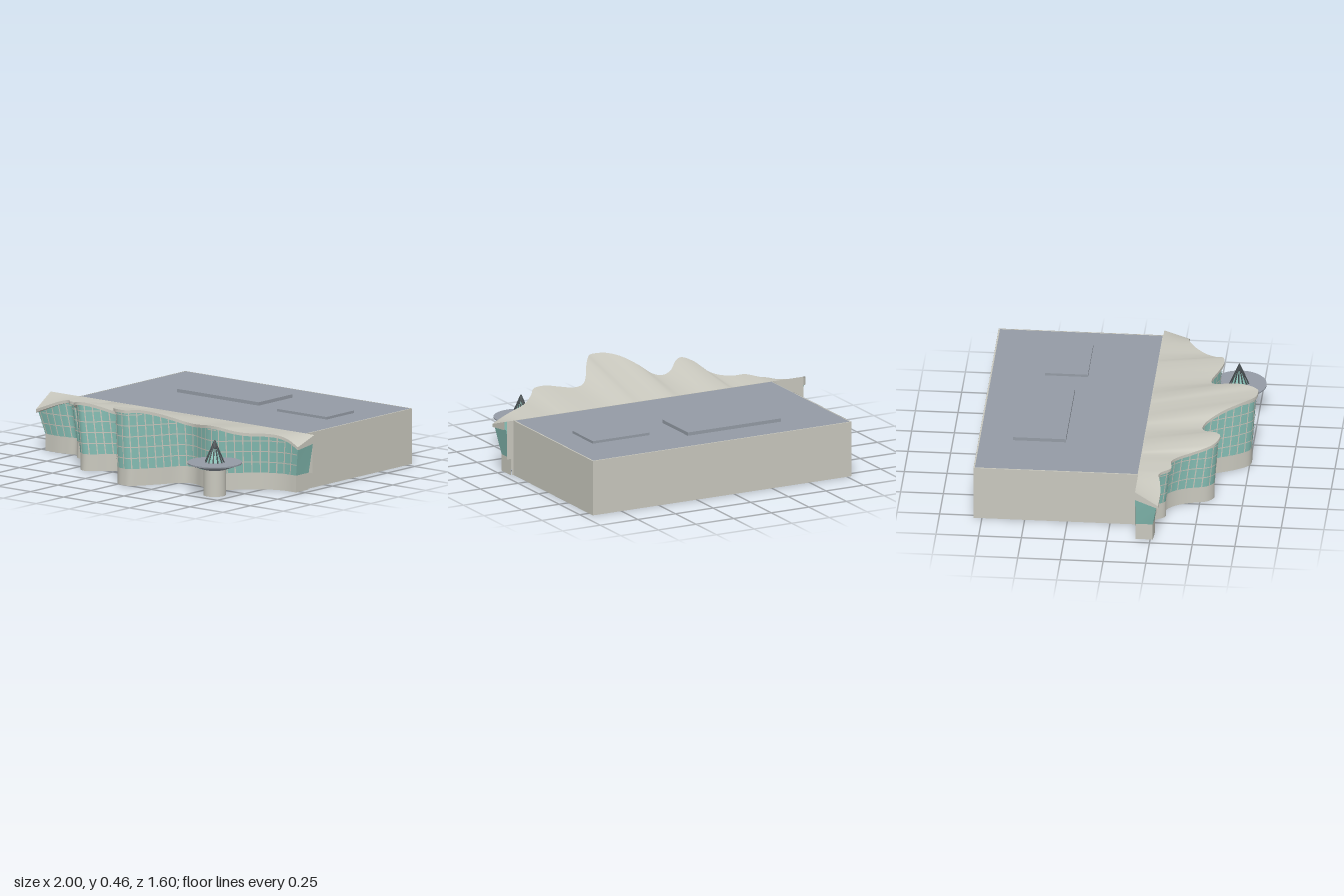
import * as THREE from 'three';
import { mergeGeometries } from 'three/addons/utils/BufferGeometryUtils.js';

const mat = (name, color) => new THREE.MeshStandardMaterial({ name, color, side: THREE.DoubleSide });
const V = (x, y, z) => new THREE.Vector3(x, y, z);

// Smooth surface between a lower and an upper row of points
function ribbon(lower, upper) {
  const n = lower.length, pos = [], idx = [];
  for (const p of [...lower, ...upper]) pos.push(p.x, p.y, p.z);
  for (let i = 0; i < n - 1; i++) idx.push(i, i + 1, n + i + 1, i, n + i + 1, n + i);
  const g = new THREE.BufferGeometry();
  g.setAttribute('position', new THREE.Float32BufferAttribute(pos, 3));
  g.setIndex(idx);
  g.computeVertexNormals();
  return g;
}

export function createModel() {
  const model = new THREE.Group();
  const stone = mat('pale stone', 0xc9c8be);
  const roofGrey = mat('roof grey', 0x949ba5);
  const glass = mat('teal glass', 0x86bfb5);
  const dark = mat('dark metal', 0x464d50);

  const add = (name, geo, material, x = 0, y = 0, z = 0, parent = model) => {
    const m = new THREE.Mesh(geo, material);
    m.name = name;
    m.position.set(x, y, z);
    parent.add(m);
    return m;
  };
  const box = (name, x0, x1, y0, y1, z0, z1, material) =>
    add(name, new THREE.BoxGeometry(x1 - x0, y1 - y0, z1 - z0), material, (x0 + x1) / 2, (y0 + y1) / 2, (z0 + z1) / 2);
  const wall = (name, x0, z0, x1, z1, y0, y1) =>
    add(name, ribbon([V(x0, y0, z0), V(x1, y0, z1)], [V(x0, y1, z0), V(x1, y1, z1)]), stone);

  // Main hall: open underneath, flat roof with a thin pale rim
  const L = -0.78, R = 0.94, B = -0.8, F = 0.165, H = 0.33;
  wall('backWall', R, B, L, B, 0, H);
  wall('leftSideWall', R, F, R, B, 0, H);
  wall('rightSideWall', L, B, L, F, 0, H);
  wall('frontWall', L, F, R, F, 0.13, H);
  const flat = (name, x0, x1, z0, z1, y, material) =>
    add(name, ribbon([V(x0, y, z1), V(x1, y, z1)], [V(x0, y, z0), V(x1, y, z0)]), material);
  flat('roofRim', L, R, B, F, H - 0.002, stone);
  flat('hallRoof', L + 0.008, R - 0.008, B + 0.008, F - 0.004, H, roofGrey);
  box('largeRoofUnit', -0.42, 0.2, H, 0.35, -0.6, -0.29, roofGrey);
  box('smallRoofUnit', 0.39, 0.765, H, 0.345, -0.48, -0.23, roofGrey);

  // Wing walls behind the ends of the wavy front
  wall('rightWing', L, F, -0.985, F, 0.1, H);
  wall('rightWingBase', L, F, -0.96, F, 0, 0.1);
  wall('leftWing', 0.985, F, R, F, 0.1, H);
  wall('leftWingBase', 0.95, F, R, F, 0, 0.1);

  // Wavy eave line: x, height, z
  const eave = [
    [-1, 0.245, 0.3], [-0.9, 0.285, 0.305], [-0.82, 0.315, 0.295], [-0.76, 0.33, 0.285], [-0.7, 0.338, 0.35],
    [-0.62, 0.342, 0.345], [-0.56, 0.342, 0.39], [-0.52, 0.35, 0.46], [-0.48, 0.39, 0.58], [-0.42, 0.413, 0.615],
    [-0.36, 0.405, 0.58], [-0.3, 0.378, 0.52], [-0.24, 0.362, 0.495], [-0.18, 0.37, 0.51], [-0.12, 0.415, 0.6],
    [-0.06, 0.447, 0.715], [0, 0.455, 0.785], [0.05, 0.456, 0.795], [0.09, 0.456, 0.79], [0.14, 0.455, 0.73],
    [0.2, 0.43, 0.64], [0.26, 0.39, 0.54], [0.3, 0.372, 0.505], [0.36, 0.366, 0.5], [0.44, 0.375, 0.53],
    [0.52, 0.386, 0.555], [0.6, 0.382, 0.545], [0.64, 0.363, 0.5], [0.7, 0.346, 0.44], [0.78, 0.342, 0.37],
    [0.86, 0.335, 0.33], [0.93, 0.315, 0.315], [1, 0.28, 0.315],
  ];
  const N = 160;
  const edge = new THREE.CatmullRomCurve3(eave.map(p => V(...p))).getSpacedPoints(N);
  const out = edge.map((p, i) => {
    const a = edge[Math.max(0, i - 1)], b = edge[Math.min(N, i + 1)];
    return V(a.z - b.z, 0, b.x - a.x).normalize();
  });
  const under = edge.map(p => V(p.x, p.y - 0.018, p.z));
  const glassTop = under.map((p, i) => V(p.x * 0.99, p.y, p.z).addScaledVector(out[i], -0.012));
  const glassLow = edge.map(p => V(p.x * 0.957, 0.1, p.z - 0.035));
  const ground = glassLow.map(p => V(p.x, 0, p.z));
  const back = edge.map(p => V(p.x, H, F));

  // Each front band also turns the corner and returns to the hall at both ends
  const band = (name, low, top, backLow, backTop, material) => {
    add(name, ribbon(low, top), material);
    const bp = (p, y) => V(p.x, y, F);
    add(name + 'RightEnd', ribbon([bp(low[0], backLow), low[0]], [bp(top[0], backTop), top[0]]), material);
    add(name + 'LeftEnd', ribbon([low[N], bp(low[N], backLow)], [top[N], bp(top[N], backTop)]), material);
  };
  band('frontPlinth', ground, glassLow, 0, 0.1, stone);
  band('glassFront', glassLow, glassTop, 0.1, 0.28, glass);
  band('eaveFascia', under, edge, 0.28, H, stone);
  add('eaveSoffit', ribbon(under, glassTop), stone);
  add('sweepingRoof', ribbon(edge, back), stone);

  // Glazing bars laid just outside the glass
  const onGlass = (i, y, off = 0.004) => {
    const t = (y - 0.1) / (glassTop[i].y - 0.1);
    return glassLow[i].clone().lerp(glassTop[i], t).addScaledVector(out[i], off);
  };
  const bars = [];
  for (let y = 0.165; y < 0.43; y += 0.065)
    for (let i = 0; i < N; i++)
      if (Math.min(glassTop[i].y, glassTop[i + 1].y) > y + 0.006)
        bars.push(ribbon([onGlass(i, y - 0.003), onGlass(i + 1, y - 0.003)], [onGlass(i, y + 0.003), onGlass(i + 1, y + 0.003)]));
  for (let i = 1; i < N; i += 3) {
    const a = onGlass(i, 0.1), b = onGlass(i, glassTop[i].y);
    const side = V(out[i].z, 0, -out[i].x).multiplyScalar(0.0035);
    bars.push(ribbon([a.clone().sub(side), a.clone().add(side)], [b.clone().sub(side), b.clone().add(side)]));
  }
  add('glazingBars', mergeGeometries(bars), stone);

  // Tapered columns inside the lobby
  for (const [x, z] of [[0.355, 0.23], [-0.17, 0.25]])
    add('lobbyColumn', new THREE.CylinderGeometry(0.1, 0.045, 0.25, 24), stone, x, 0.125, z);

  // Round pavilion with a dish canopy and a spire of struts
  const pavilion = new THREE.Group();
  pavilion.name = 'pavilion';
  pavilion.position.set(0.635, 0, 0.635);
  model.add(pavilion);
  add('pavilionDrum', new THREE.CylinderGeometry(0.066, 0.066, 0.16, 32), stone, 0, 0.08, 0, pavilion);
  add('dishCanopy', new THREE.CylinderGeometry(0.16, 0.066, 0.033, 40), roofGrey, 0, 0.171, 0, pavilion);
  add('canopyRim', new THREE.CylinderGeometry(0.16, 0.16, 0.008, 40), roofGrey, 0, 0.1915, 0, pavilion);
  add('spireGlass', new THREE.ConeGeometry(0.05, 0.115, 12), glass, 0, 0.252, 0, pavilion);
  for (let k = 0; k < 12; k++) {
    const a = (k / 12) * Math.PI * 2;
    const path = new THREE.LineCurve3(V(Math.cos(a) * 0.056, 0.194, Math.sin(a) * 0.056), V(0, 0.324, 0));
    add('spireStrut', new THREE.TubeGeometry(path, 1, 0.004, 6), dark, 0, 0, 0, pavilion);
  }
  return model;
}
